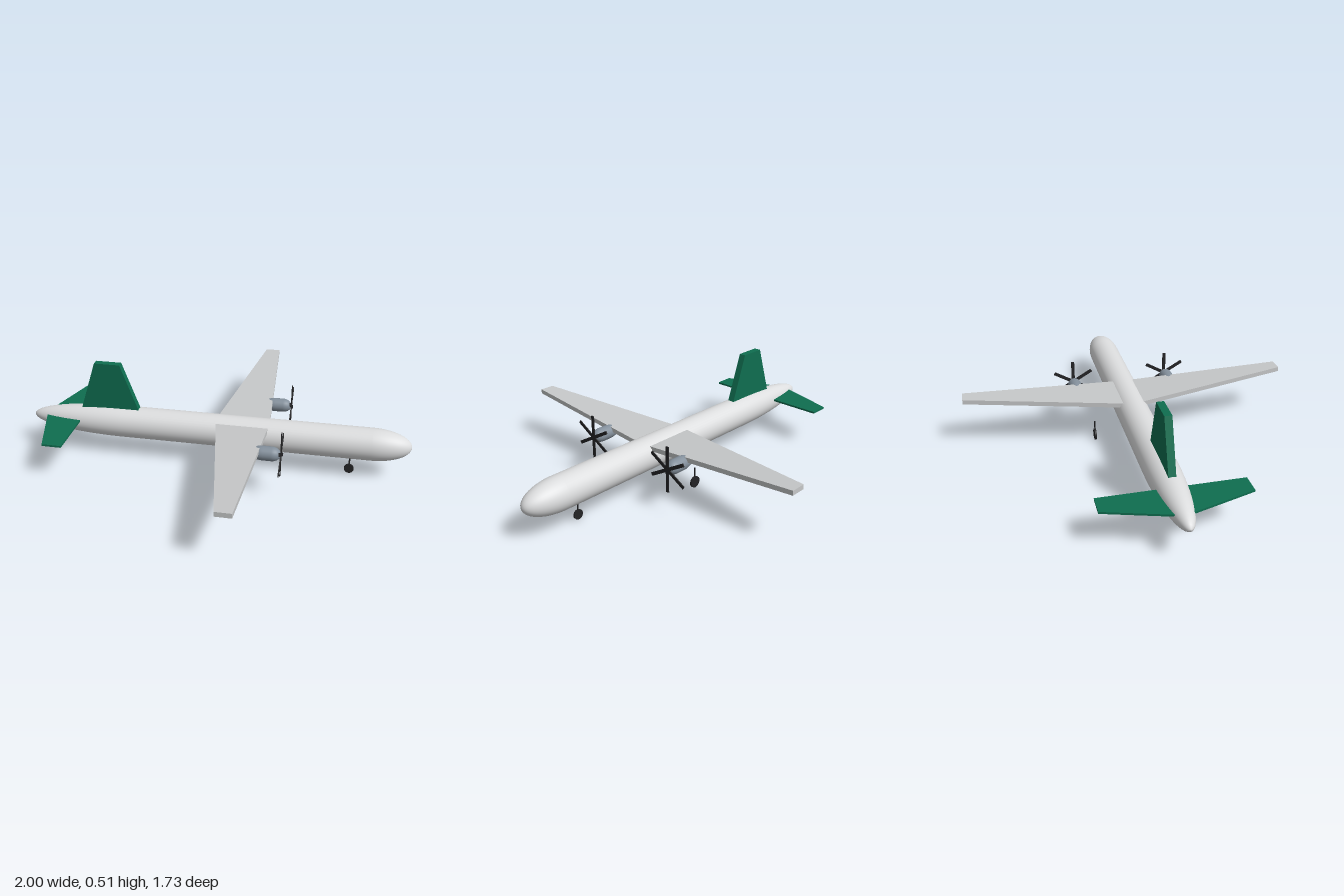
import * as THREE from 'three';

const paint = (name, color) => {
  const m = new THREE.MeshStandardMaterial({ color });
  m.name = name;
  return m;
};

// Round body along x: elliptical tail, straight middle, elliptical nose
function spindle(tail, midBack, midFront, nose, radius, sides) {
  const pts = [];
  const n = 14;
  for (let i = 0; i <= n; i++) {
    const a = (i / n) * Math.PI / 2;
    pts.push(new THREE.Vector2(radius * Math.sin(a), midBack - (midBack - tail) * Math.cos(a)));
  }
  for (let i = 0; i <= n; i++) {
    const a = (i / n) * Math.PI / 2;
    pts.push(new THREE.Vector2(radius * Math.cos(a), midFront + (nose - midFront) * Math.sin(a)));
  }
  return new THREE.LatheGeometry(pts, sides).rotateZ(-Math.PI / 2);
}

// Full-span tapered slab, mirrored about z = 0; root and tip are [back x, front x, mid y]
function taperedSpan(root, tip, halfSpan, thickness) {
  const box = new THREE.BoxGeometry(1, thickness, 2, 1, 1, 2);
  const pos = box.attributes.position;
  for (let i = 0; i < pos.count; i++) {
    const t = Math.abs(pos.getZ(i));
    const [back, front, mid] = root.map((r, k) => THREE.MathUtils.lerp(r, tip[k], t));
    pos.setXYZ(i, pos.getX(i) < 0 ? back : front, mid + pos.getY(i), pos.getZ(i) * halfSpan);
  }
  const g = box.toNonIndexed();
  g.computeVertexNormals();
  return g;
}

export function createModel() {
  const model = new THREE.Group();
  model.name = 'propellerAirliner';
  const white = paint('fuselage white', 0xdcddde);
  const grey = paint('wing grey', 0xc6c8c9);
  const green = paint('tail green', 0x0f6e50);
  const steel = paint('engine steel', 0x84909c);
  const black = paint('rubber black', 0x242426);

  const add = (parent, name, geometry, material, x = 0, y = 0, z = 0) => {
    const mesh = new THREE.Mesh(geometry, material);
    mesh.name = name;
    mesh.position.set(x, y, z);
    parent.add(mesh);
    return mesh;
  };

  // Fuselage and lifting surfaces
  add(model, 'fuselage', spindle(-1, -0.5, 0.8, 1, 0.084, 40), white, 0, 0.181, 0);
  add(model, 'wing', taperedSpan([0, 0.28, 0.23], [0.155, 0.233, 0.276], 0.865, 0.024), grey);
  add(model, 'tailplane', taperedSpan([-0.925, -0.72, 0.197], [-0.82, -0.72, 0.197], 0.347, 0.01), green);

  // Vertical fin
  const finShape = new THREE.Shape([
    [-0.727, 0.235], [-0.4, 0.235], [-0.5, 0.513], [-0.635, 0.513],
  ].map(([x, y]) => new THREE.Vector2(x, y)));
  add(model, 'fin', new THREE.ExtrudeGeometry(finShape, { depth: 0.036, bevelEnabled: false }), green, 0, 0, -0.018);

  // Engines with six-bladed propellers
  const nacelle = spindle(-0.08, 0.0, 0.04, 0.085, 0.036, 24);
  for (const side of [-1, 1]) {
    const engine = new THREE.Group();
    engine.name = side > 0 ? 'leftEngine' : 'rightEngine';
    engine.position.set(0.283, 0.224, side * 0.26);
    model.add(engine);
    add(engine, 'nacelle', nacelle, steel);
    const propeller = new THREE.Group();
    propeller.name = 'propeller';
    propeller.position.x = 0.085;
    engine.add(propeller);
    for (let i = 0; i < 3; i++) {
      const blade = add(propeller, 'bladePair', new THREE.BoxGeometry(0.005, 0.236, 0.017), black);
      blade.rotation.x = i * Math.PI / 3;
    }
  }

  // Landing gear: strut and wheel
  const gear = (name, x, z, radius, top) => {
    const g = new THREE.Group();
    g.name = name;
    g.position.set(x, 0, z);
    model.add(g);
    const wheel = new THREE.CylinderGeometry(radius, radius, 0.01, 20).rotateX(Math.PI / 2);
    add(g, 'wheel', wheel, black, 0, radius, 0);
    const length = top - radius;
    add(g, 'strut', new THREE.CylinderGeometry(0.004, 0.004, length, 10), black, 0, radius + length / 2, 0);
  };
  gear('noseGear', 0.7, 0, 0.025, 0.11);
  gear('leftMainGear', 0.1, 0.192, 0.03, 0.108);
  gear('rightMainGear', 0.1, -0.192, 0.03, 0.108);

  return model;
}
